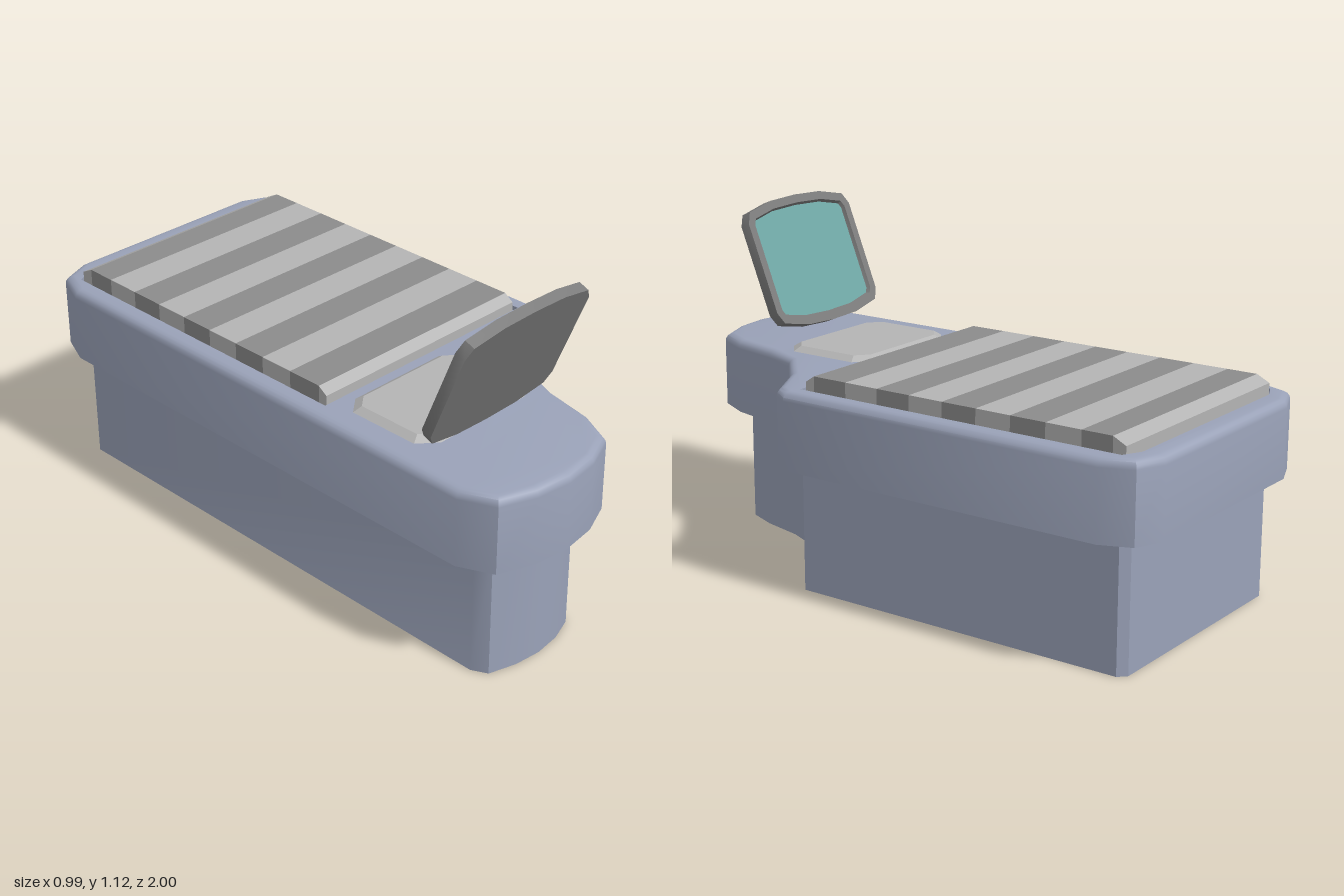
import * as THREE from 'three';
import { toCreasedNormals } from 'three/addons/utils/BufferGeometryUtils.js';

const mat = (color) => new THREE.MeshStandardMaterial({ color });

// Plan outline from [x, z] pairs, as a counter-clockwise loop of (x, -z)
function outline(pairs) {
  const pts = pairs.map(([x, z]) => new THREE.Vector2(x, -z));
  return THREE.ShapeUtils.isClockWise(pts) ? pts.reverse() : pts;
}

// Moves every edge of a loop inwards by d
function inset(loop, d) {
  const n = loop.length;
  const normal = (a, b) => new THREE.Vector2(a.y - b.y, b.x - a.x).normalize();
  return loop.map((p, i) => {
    const n1 = normal(loop[(i + n - 1) % n], p);
    const n2 = normal(p, loop[(i + 1) % n]);
    const k = d / (1 + n1.dot(n2));
    return new THREE.Vector2(p.x + (n1.x + n2.x) * k, p.y + (n1.y + n2.y) * k);
  });
}

// Skins a loop through [inset, y] levels; levels running downwards make a pocket
function loft(loop, levels, { hole = null, bottom = true, top = true, crease = 0.6 } = {}) {
  const pos = [];
  const put = (p, y) => pos.push(p.x, y, -p.y);
  const rings = levels.map(([d]) => inset(loop, d));
  for (let l = 0; l < levels.length - 1; l++) {
    const y0 = levels[l][1], y1 = levels[l + 1][1];
    loop.forEach((_, i) => {
      const j = (i + 1) % loop.length;
      const a = rings[l], b = rings[l + 1];
      put(a[i], y0); put(a[j], y0); put(b[j], y1);
      put(a[i], y0); put(b[j], y1); put(b[i], y1);
    });
  }
  const cap = (ring, y, up, cut) => {
    const holes = cut ? [cut.slice().reverse()] : [];
    const all = ring.concat(...holes);
    for (const f of THREE.ShapeUtils.triangulateShape(ring, holes)) {
      for (const i of up ? f : [f[2], f[1], f[0]]) put(all[i], y);
    }
  };
  const last = levels.length - 1;
  if (bottom) cap(rings[0], levels[0][1], false, null);
  if (top) cap(rings[last], levels[last][1], true, hole);
  const g = new THREE.BufferGeometry();
  g.setAttribute('position', new THREE.Float32BufferAttribute(pos, 3));
  return toCreasedNormals(g, crease);
}

export function createModel() {
  const model = new THREE.Group();
  model.name = 'checkoutCounter';
  const body = mat(0x9aa2b8), lightGrey = mat(0xb4b4b4), darkGrey = mat(0x8c8c8c);
  const frameGrey = mat(0x7c7c7c), teal = mat(0x6fa8a6);
  const add = (parent, name, geometry, material) => {
    const mesh = new THREE.Mesh(geometry, material);
    mesh.name = name;
    parent.add(mesh);
    return mesh;
  };

  // Base cabinet
  const baseLoop = outline([
    [-0.415, -0.89], [-0.39, -0.915], [0.39, -0.915], [0.415, -0.89], [0.415, 0.26],
    [0.395, 0.275], [0.25, 0.345], [0.1, 0.48], [0.035, 0.63], [0, 0.78], [-0.04, 0.88],
    [-0.12, 0.908], [-0.21, 0.918], [-0.3, 0.908], [-0.39, 0.88], [-0.415, 0.83],
  ]);
  add(model, 'baseCabinet', loft(baseLoop, [[0, 0], [0, 0.415]]), body);

  // Overhanging counter top with a rounded rim and a pocket for the belt
  const topLoop = outline([
    [-0.495, -0.85], [-0.45, -0.96], [-0.35, -1], [0.36, -1], [0.45, -0.96], [0.49, -0.86],
    [0.49, 0.27], [0.455, 0.325], [0.3, 0.41], [0.165, 0.53], [0.11, 0.66], [0.075, 0.83],
    [0.02, 0.94], [-0.09, 0.985], [-0.21, 1], [-0.33, 0.985], [-0.445, 0.94], [-0.495, 0.83],
  ]);
  const pocketLoop = outline([
    [-0.43, -0.9], [-0.35, -0.94], [0.35, -0.94], [0.43, -0.9], [0.43, 0.25], [-0.43, 0.25],
  ]);
  const r = 0.028, levels = [[0, 0.41]];
  for (let i = 0; i <= 4; i++) {
    const a = (i / 4) * Math.PI / 2;
    levels.push([r * (1 - Math.cos(a)), 0.66 - r + r * Math.sin(a)]);
  }
  add(model, 'counterTop', loft(topLoop, levels, { hole: pocketLoop }), body);
  add(model, 'beltPocket', loft(pocketLoop, [[0, 0.66], [0, 0.645]], { bottom: false }), body);

  // Conveyor belt: alternating stripes between [z, height] stations
  const stations = [[-0.905, 0.682], [-0.862, 0.704]];
  for (let i = 0; i < 8; i++) stations.push([-0.76 + i * 0.1207, 0.704]);
  stations.push([0.208, 0.704], [0.24, 0.682]);
  const belt = new THREE.Group();
  belt.name = 'conveyorBelt';
  model.add(belt);
  for (let i = 0; i < stations.length - 1; i++) {
    const [z0, h0] = stations[i], [z1, h1] = stations[i + 1];
    const section = new THREE.Shape([[z0, 0.645], [z1, 0.645], [z1, h1], [z0, h0]]
      .map(([z, y]) => new THREE.Vector2(-z, y)));
    const g = new THREE.ExtrudeGeometry(section, { depth: 0.83, bevelEnabled: false });
    g.rotateY(Math.PI / 2).translate(-0.415, 0, 0);
    add(belt, 'beltStripe', g, i % 2 ? darkGrey : lightGrey);
  }

  // Scanner plate with chamfered edges
  const plateLoop = outline([
    [-0.4, 0.335], [-0.34, 0.285], [0.02, 0.285], [0.08, 0.335],
    [0.08, 0.58], [0.02, 0.63], [-0.34, 0.63], [-0.4, 0.58],
  ]);
  add(model, 'scannerPlate', loft(plateLoop, [[0, 0.655], [0, 0.66], [0.025, 0.676]], { crease: 0.2 }), lightGrey);

  // Tilted display, its screen facing the back
  const display = new THREE.Group();
  display.name = 'display';
  display.position.set(-0.2, 0.908, 0.74);
  display.rotation.x = 0.385;
  model.add(display);
  const quarter = [[0.26, 0.155], [0.238, 0.193], [0.125, 0.217]];
  const flipped = quarter.slice().reverse();
  const frameLoop = outline([
    ...quarter, [0, 0.222], ...flipped.map(([x, y]) => [-x, y]),
    ...quarter.map(([x, y]) => [-x, -y]), [0, -0.222], ...flipped.map(([x, y]) => [x, -y]),
  ]);
  const screenLoop = inset(frameLoop, 0.028);
  const upright = (g) => g.rotateX(-Math.PI / 2);
  add(display, 'displayCasing', upright(loft(frameLoop, [[0, -0.018], [0, 0.018]], { hole: screenLoop })), frameGrey);
  add(display, 'screenRim', upright(loft(screenLoop, [[0, 0.018], [0.006, 0.006]], { bottom: false, top: false })), frameGrey);
  add(display, 'screen', upright(loft(screenLoop, [[0.006, 0], [0.006, 0.006]])), teal);

  return model;
}
